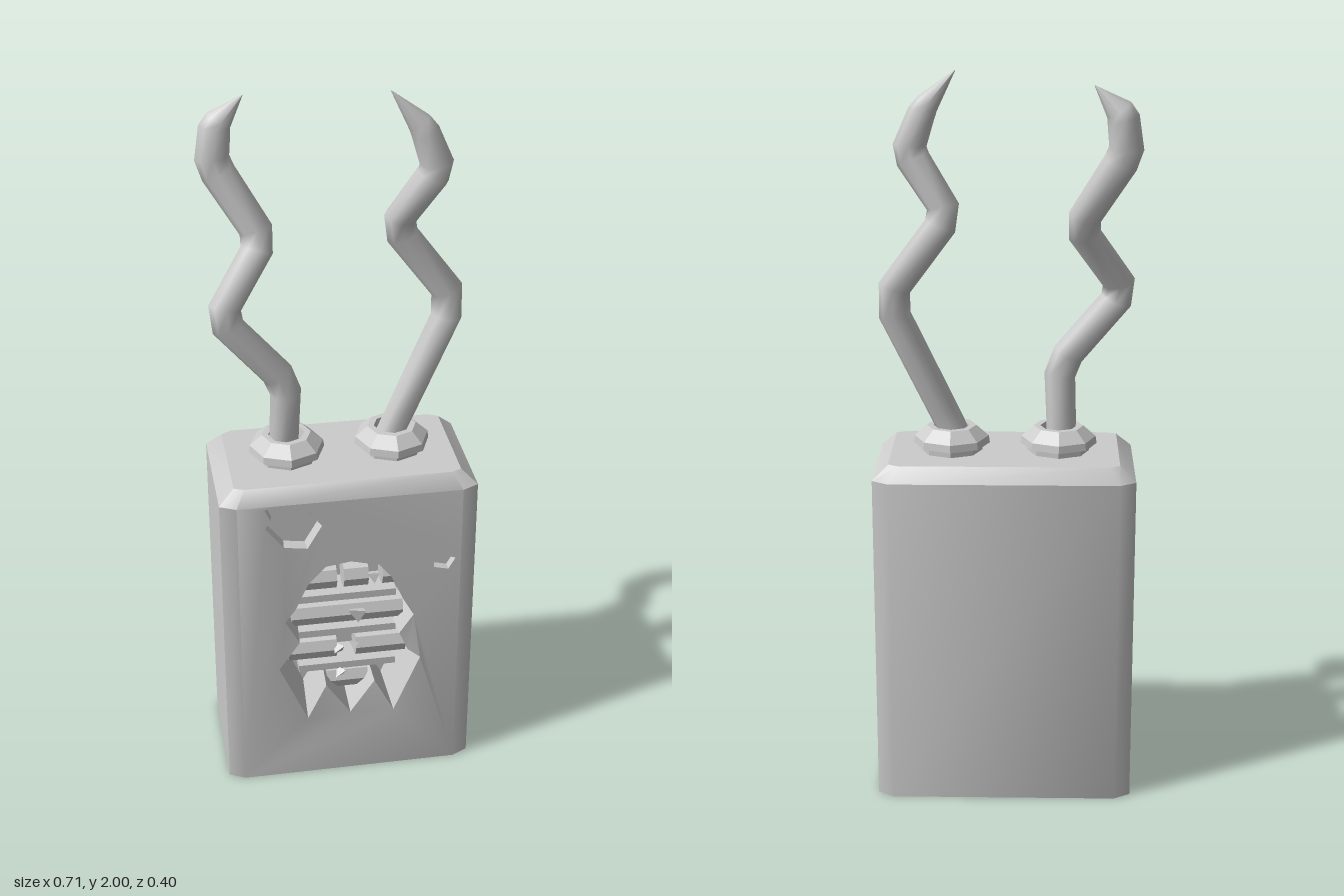
import * as THREE from 'three';
import { mergeGeometries, toCreasedNormals } from 'three/addons/utils/BufferGeometryUtils.js';

const grey = new THREE.MeshStandardMaterial({ color: 0xcccccc });
const facet = new THREE.MeshStandardMaterial({ color: 0xcccccc, flatShading: true, side: THREE.DoubleSide });

// Outlines of the openings in the front, as [x, y]
const wound = [
  [0, 0.73], [-0.07, 0.72], [-0.12, 0.665], [-0.155, 0.585], [-0.185, 0.545], [-0.145, 0.47],
  [-0.205, 0.39], [-0.125, 0.205], [-0.07, 0.31], [0, 0.205], [0.07, 0.31], [0.125, 0.205],
  [0.2, 0.385], [0.165, 0.41], [0.14, 0.47], [0.18, 0.53], [0.15, 0.585], [0.115, 0.665], [0.08, 0.71],
];
const chipA = [[-0.235, 0.92], [-0.185, 0.93], [-0.155, 0.9], [-0.125, 0.92], [-0.08, 0.855],
  [-0.12, 0.785], [-0.185, 0.795], [-0.235, 0.86], [-0.22, 0.885]];
const chipB = [[0.23, 0.735], [0.255, 0.745], [0.265, 0.72], [0.295, 0.71], [0.275, 0.675], [0.235, 0.685]];

const FRONT = 0.19;
const toVecs = (pts) => pts.map(([x, y]) => new THREE.Vector2(x, y));
// the torn edge is bent out a little at its lower corners
const frontZ = (x, y) => (Math.abs(x) > 0.1 && Math.abs(x) < 0.22 && y > 0.1 && y < 0.4 ? 0.199 : FRONT);

function add(parent, name, geometry, material = grey) {
  const mesh = new THREE.Mesh(geometry, material);
  mesh.name = name;
  parent.add(mesh);
  return mesh;
}

function geometryFrom(positions, index) {
  const g = new THREE.BufferGeometry();
  g.setAttribute('position', new THREE.Float32BufferAttribute(positions, 3));
  if (index) g.setIndex(index);
  return g;
}

// Block with chamfered upright and top edges; the front panel has openings
function bodyGeometry() {
  const ring = (y, a, b, front, frontIn, back, backIn) => [
    [a, y, front], [b, y, frontIn], [b, y, -backIn], [a, y, -back],
    [-a, y, -back], [-b, y, -backIn], [-b, y, frontIn], [-a, y, front],
  ];
  const rings = [
    ring(0, 0.31, 0.355, FRONT, 0.168, 0.2, 0.172),
    ring(0.93, 0.31, 0.355, FRONT, 0.168, 0.2, 0.172),
    ring(0.97, 0.285, 0.312, 0.157, 0.145, 0.165, 0.15),
  ];
  const index = [];
  for (let i = 0; i < 2; i++) {
    for (let j = 0; j < 8; j++) {
      if (i === 0 && j === 7) continue;
      const k = (j + 1) % 8, a = i * 8;
      index.push(a + j, a + k, a + 8 + k, a + j, a + 8 + k, a + 8 + j);
    }
  }
  for (let j = 1; j < 7; j++) index.push(16, 16 + j, 17 + j, 0, j + 1, j);
  const shell = geometryFrom(rings.flat(2), index).toNonIndexed();

  const shape = new THREE.Shape(toVecs([[-0.31, 0], [0.31, 0], [0.31, 0.93], [-0.31, 0.93]]));
  for (const outline of [wound, chipA, chipB]) shape.holes.push(new THREE.Path(toVecs(outline)));
  const panel = new THREE.ShapeGeometry(shape).toNonIndexed();
  panel.deleteAttribute('uv');
  panel.deleteAttribute('normal');
  const p = panel.attributes.position;
  for (let i = 0; i < p.count; i++) p.setZ(i, frontZ(p.getX(i), p.getY(i)));
  return toCreasedNormals(mergeGeometries([shell, panel]), 0.7);
}

// Walls and floor behind an opening
function recessGeometry(outline, depth, shrink) {
  const n = outline.length;
  const cx = outline.reduce((s, p) => s + p[0], 0) / n;
  const cy = outline.reduce((s, p) => s + p[1], 0) / n;
  const inner = outline.map(([x, y]) => [cx + (x - cx) * shrink, cy + (y - cy) * shrink]);
  const pos = [], index = [];
  outline.forEach(([x, y]) => pos.push(x, y, frontZ(x, y)));
  inner.forEach(([x, y]) => pos.push(x, y, FRONT - depth));
  for (let i = 0; i < n; i++) {
    const k = (i + 1) % n;
    index.push(i, k, n + k, i, n + k, n + i);
  }
  for (const f of THREE.ShapeUtils.triangulateShape(toVecs(inner), [])) index.push(...f.map((v) => v + n));
  return geometryFrom(pos, index).toNonIndexed();
}

// Bent tapering horn through points [x, y, z, radius], with each bend eased by two rings
function hornGeometry(path, sides = 8) {
  const pts = path.map(([x, y, z, r]) => new THREE.Vector4(x, y, z, r));
  const stops = [pts[0]];
  for (let i = 1; i < pts.length - 1; i++) {
    stops.push(pts[i].clone().lerp(pts[i - 1], 0.13), pts[i].clone().lerp(pts[i + 1], 0.13));
  }
  stops.push(pts[pts.length - 1]);
  const at = (i) => {
    const s = stops[Math.min(Math.max(i, 0), stops.length - 1)];
    return new THREE.Vector3(s.x, s.y, s.z);
  };
  const pos = [], index = [];
  stops.forEach((s, i) => {
    const before = at(i).sub(at(i - 1)).normalize(), after = at(i + 1).sub(at(i)).normalize();
    const t = before.add(after).normalize();
    const u = new THREE.Vector3().crossVectors(t, new THREE.Vector3(0, 0, 1)).normalize();
    const v = new THREE.Vector3().crossVectors(t, u);
    for (let j = 0; j < sides; j++) {
      const a = (j / sides) * Math.PI * 2;
      const q = at(i).addScaledVector(u, Math.cos(a) * s.w).addScaledVector(v, Math.sin(a) * s.w);
      pos.push(q.x, q.y, q.z);
      if (i === 0) continue;
      const k = (j + 1) % sides, lo = (i - 1) * sides, hi = i * sides;
      index.push(lo + j, lo + k, hi + k, lo + j, hi + k, hi + j);
    }
  });
  const g = geometryFrom(pos, index);
  g.computeVertexNormals();
  return g;
}

export function createModel() {
  const model = new THREE.Group();
  model.name = 'hornedBlock';

  add(model, 'body', bodyGeometry());
  const recesses = [['woundCavity', wound, 0.15, 0.93], ['upperChip', chipA, 0.025, 0.9], ['smallChip', chipB, 0.02, 0.9]];
  for (const [name, outline, depth, shrink] of recesses) {
    const g = recessGeometry(outline, depth, shrink);
    g.computeVertexNormals();
    add(model, name, g, facet);
  }

  // Broken rods [y, from x, to x] lying in the cavity, on thin shelves
  const inside = new THREE.Group();
  inside.name = 'innards';
  model.add(inside);
  const rods = [[0.635, -0.14, -0.03], [0.635, -0.01, 0.06], [0.635, 0.1, 0.14], [0.515, -0.16, 0.16],
    [0.395, -0.17, -0.03], [0.395, 0.025, 0.17], [0.285, -0.06, 0.06]];
  for (const [y, x0, x1] of rods) {
    const rod = add(inside, 'rod', new THREE.CylinderGeometry(0.042, 0.042, x1 - x0, 8), facet);
    rod.rotation.z = Math.PI / 2;
    rod.position.set((x0 + x1) / 2, y, 0.1);
  }
  for (const y of [0.575, 0.455, 0.335]) {
    add(inside, 'shelf', new THREE.BoxGeometry(0.28, 0.022, 0.1), facet).position.set(0, y, 0.085);
  }
  // Loose splinters [x, y, size, tilt]
  for (const [x, y, s, a] of [[0.075, 0.64, 0.022, 0.3], [0.03, 0.52, 0.032, 1.1], [-0.025, 0.4, 0.022, 0.7],
    [0.02, 0.41, 0.018, 0.2], [-0.02, 0.315, 0.022, 1.5]]) {
    const chip = add(inside, 'splinter', new THREE.TetrahedronGeometry(s), facet);
    chip.position.set(x, y, 0.14);
    chip.rotation.set(a, a * 2, a);
  }

  // Eight-sided collars around the horns
  const collar = [[0.085, 0.965], [0.085, 0.985], [0.105, 0.99], [0.102, 1.01], [0.068, 1.04], [0.05, 1.04], [0.045, 0.99]];
  for (const side of [-1, 1]) {
    const mesh = add(model, side > 0 ? 'leftCollar' : 'rightCollar', new THREE.LatheGeometry(toVecs(collar), 8), facet);
    mesh.position.set(side * 0.147, 0, -0.007);
  }

  add(model, 'rightHorn', hornGeometry([
    [-0.157, 0.97, 0, 0.04], [-0.148, 1.21, 0.012, 0.043], [-0.322, 1.415, 0.018, 0.044], [-0.195, 1.6, -0.05, 0.044],
    [-0.316, 1.8, -0.1, 0.046], [-0.303, 1.9, -0.108, 0.042], [-0.23, 1.972, -0.11, 0.001]]));
  add(model, 'leftHorn', hornGeometry([
    [0.12, 0.97, 0, 0.04], [0.15, 1.04, 0, 0.041], [0.318, 1.4, -0.032, 0.044], [0.15, 1.625, -0.03, 0.043],
    [0.257, 1.79, 0, 0.046], [0.215, 1.9, 0, 0.036], [0.13, 2.0, 0, 0.001]]));
  return model;
}
